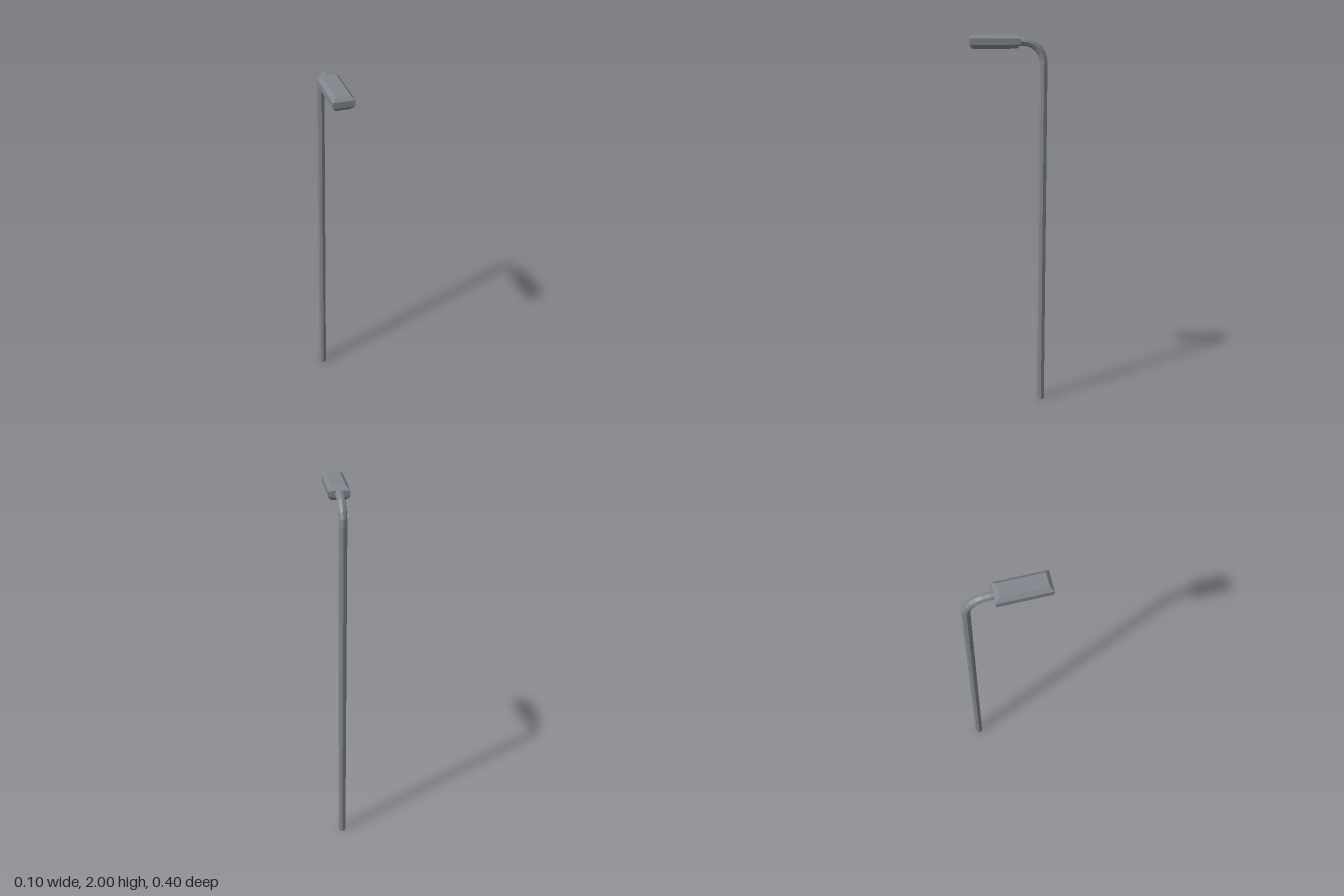
import * as THREE from 'three';
import { ConvexGeometry } from 'three/addons/geometries/ConvexGeometry.js';

const metal = new THREE.MeshStandardMaterial({ color: 0x82858d });
metal.name = 'greyMetal';
const glow = new THREE.MeshStandardMaterial({ color: 0xe0cf7a });
glow.name = 'yellowLamp';

// Gives every facet its own flat normal
function faceted(geometry) {
  const flat = geometry.toNonIndexed();
  flat.computeVertexNormals();
  return flat;
}

// Eight-sided post whose upper rows are bent forward into an arm
function bentPost() {
  const radius = 0.0205, bend = 0.105, steps = 6, postZ = -0.18, armY = 1.966;
  const rows = [{ z: postZ, y: 0, a: 0 }];
  for (let i = 0; i <= steps; i++) {
    const a = (i / steps) * Math.PI / 2;
    rows.push({
      z: postZ + bend * (1 - Math.cos(a)),
      y: armY - bend + bend * Math.sin(a),
      a,
    });
  }
  rows.push({ z: -0.03, y: armY, a: Math.PI / 2 });

  const segments = rows.length - 1;
  const geometry = new THREE.CylinderGeometry(radius, radius, 1, 8, segments);
  const p = geometry.attributes.position;
  for (let i = 0; i < p.count; i++) {
    const row = rows[Math.round((p.getY(i) + 0.5) * segments)];
    const off = p.getZ(i);
    p.setXYZ(i, p.getX(i), row.y - off * Math.sin(row.a), row.z + off * Math.cos(row.a));
  }
  return faceted(geometry);
}

// Box with bevelled upper and lower rims
function bevelledHead() {
  const points = [];
  const levels = [[1.932, 0.018], [1.952, 0], [1.982, 0], [2.0, 0.018]];
  for (const [y, inset] of levels) {
    for (const x of [-0.0525 + inset, 0.0525 - inset]) {
      for (const z of [-0.055 + inset, 0.2 - inset]) points.push(new THREE.Vector3(x, y, z));
    }
  }
  return new ConvexGeometry(points);
}

export function createModel() {
  const group = new THREE.Group();
  group.name = 'streetLamp';
  const add = (name, geometry, material) => {
    const mesh = new THREE.Mesh(geometry, material);
    mesh.name = name;
    group.add(mesh);
    return mesh;
  };

  add('postAndArm', bentPost(), metal);
  add('lampHead', bevelledHead(), metal);

  // Light panel set inside the grey rim under the head
  const panel = add('lightPanel', new THREE.BoxGeometry(0.046, 0.003, 0.172), glow);
  panel.position.set(0, 1.932, 0.0725);

  return group;
}
